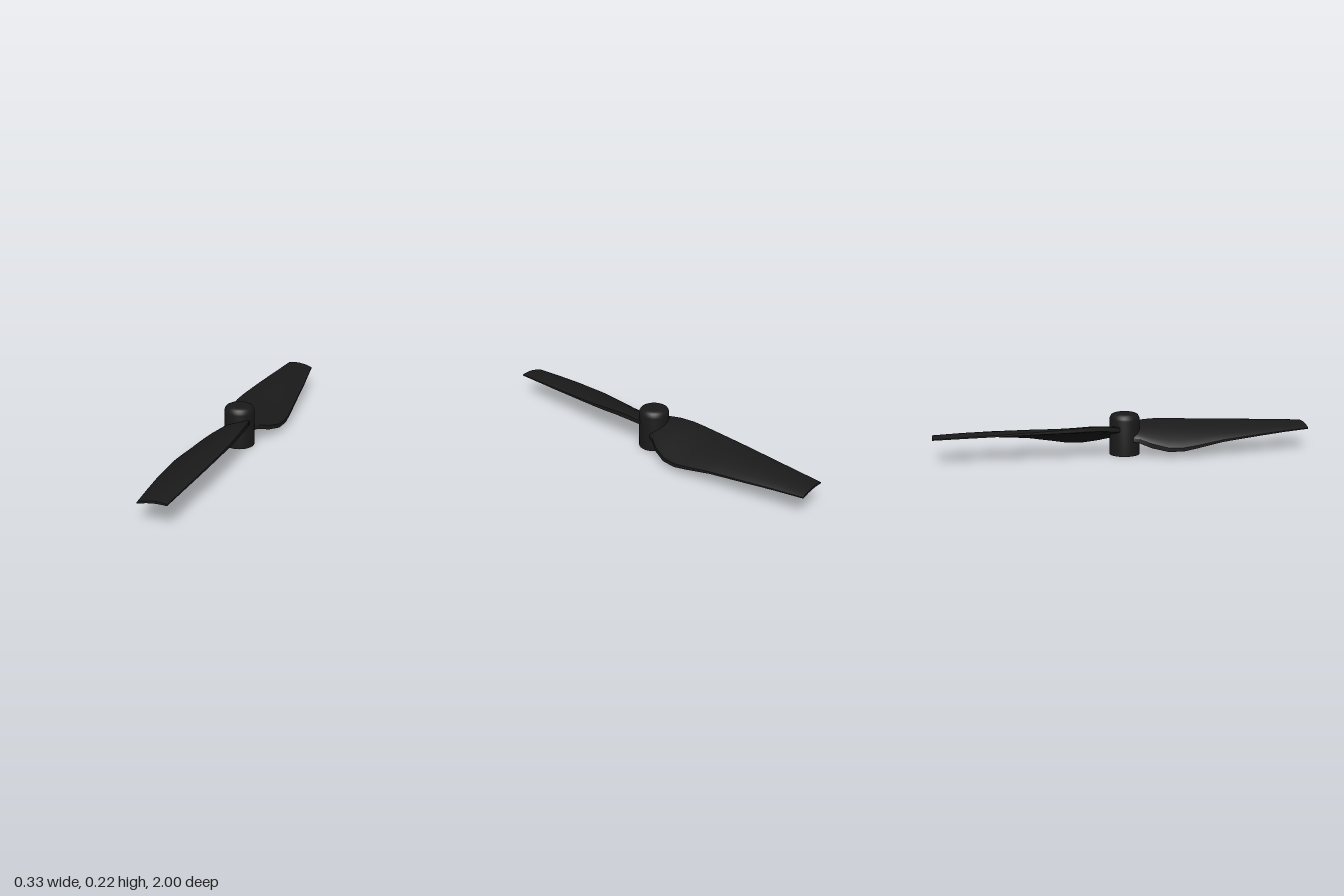
import * as THREE from 'three';
import { toCreasedNormals } from 'three/addons/utils/BufferGeometryUtils.js';

const material = new THREE.MeshStandardMaterial({ color: 0x1a1a1a });

// Blade stations: z, low edge x, high edge x, low edge y, high edge y, camber, mid thickness, edge thickness
const STATIONS = [
  [0.00, -0.06, 0.06, 0.09, 0.140, 0.005, 0.040, 0.020],
  [0.06, -0.085, 0.076, 0.083, 0.147, 0.008, 0.040, 0.022],
  [0.12, -0.125, 0.083, 0.063, 0.154, 0.012, 0.040, 0.024],
  [0.20, -0.157, 0.089, 0.046, 0.157, 0.016, 0.038, 0.022],
  [0.28, -0.167, 0.090, 0.045, 0.154, 0.018, 0.034, 0.020],
  [0.36, -0.166, 0.089, 0.057, 0.151, 0.018, 0.030, 0.016],
  [0.50, -0.156, 0.083, 0.080, 0.147, 0.018, 0.025, 0.012],
  [0.70, -0.138, 0.070, 0.097, 0.140, 0.017, 0.020, 0.009],
  [0.85, -0.119, 0.059, 0.107, 0.135, 0.015, 0.016, 0.007],
  [1.00, -0.100, 0.048, 0.114, 0.130, 0.010, 0.012, 0.006],
];
const SPAN = [0, 0.06, 0.16, 0.32, 0.5, 0.68, 0.84, 0.95, 1]; // across the chord

// Cambered blade lofted through the stations, closed at the tip
function bladeGeometry() {
  const n = SPAN.length;
  const ring = 2 * n;
  const positions = [];
  const index = [];
  for (const [z, xLow, xHigh, yLow, yHigh, camber, mid, edge] of STATIONS) {
    const point = (t, side) => {
      const bow = 4 * t * (1 - t);
      const thickness = edge + (mid - edge) * Math.sqrt(bow);
      const y = yLow + (yHigh - yLow) * t + camber * bow;
      positions.push(xLow + (xHigh - xLow) * t, y + side * thickness / 2, z);
    };
    SPAN.forEach((t) => point(t, 1));
    [...SPAN].reverse().forEach((t) => point(t, -1));
  }
  for (let i = 0; i < STATIONS.length - 1; i++) {
    for (let j = 0; j < ring; j++) {
      const a = i * ring + j;
      const b = i * ring + (j + 1) % ring;
      index.push(a, a + ring, b, b, a + ring, b + ring);
    }
  }
  // Tip cap, a strip between upper and lower skin
  const tip = (STATIONS.length - 1) * ring;
  for (let j = 0; j < n - 1; j++) {
    const top = tip + j;
    const bottom = tip + ring - 1 - j;
    index.push(top, bottom, bottom - 1, top, bottom - 1, top + 1);
  }
  const geometry = new THREE.BufferGeometry();
  geometry.setAttribute('position', new THREE.Float32BufferAttribute(positions, 3));
  geometry.setIndex(index);
  return toCreasedNormals(geometry, 0.7);
}

export function createModel() {
  const model = new THREE.Group();
  model.name = 'propeller';

  // Hub with a rounded top edge
  const profile = [[0, 0], [0.08, 0], [0.08, 0.188], [0.078, 0.2], [0.071, 0.212], [0.056, 0.22], [0.045, 0.222], [0, 0.222]]
    .map(([r, y]) => new THREE.Vector2(r, y));
  const hub = new THREE.Mesh(toCreasedNormals(new THREE.LatheGeometry(profile, 32), 0.7), material);
  hub.name = 'hub';
  model.add(hub);

  // Two opposed blades
  const geometry = bladeGeometry();
  ['frontBlade', 'backBlade'].forEach((name, i) => {
    const blade = new THREE.Mesh(geometry, material);
    blade.name = name;
    blade.rotation.y = i * Math.PI;
    model.add(blade);
  });

  return model;
}
